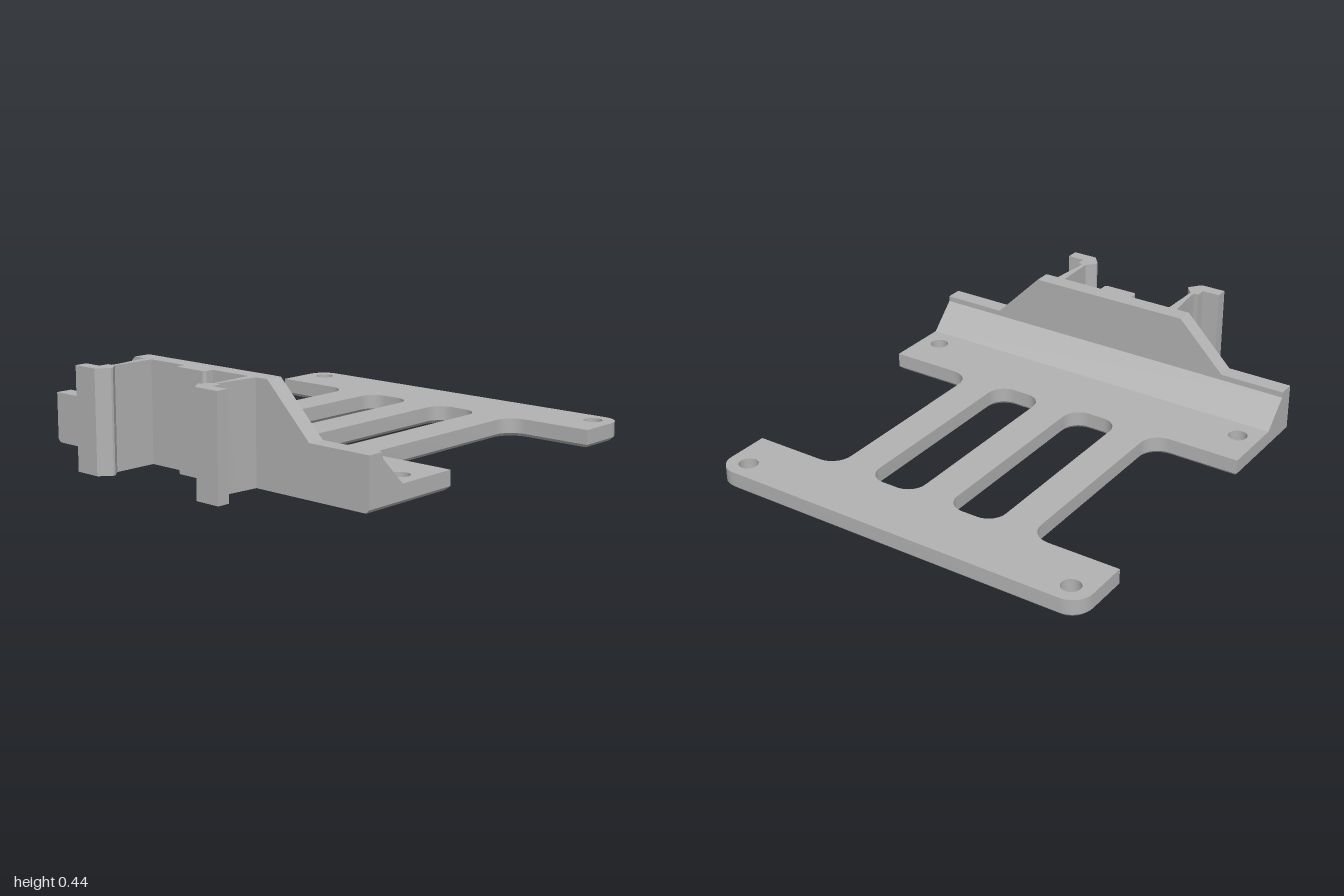
import * as THREE from 'three';
import { toCreasedNormals } from 'three/addons/utils/BufferGeometryUtils.js';

const HALF = 0.885, PLATE = 0.08, TALL = 0.435, CHAMFER = 0.015;
const grey = new THREE.MeshStandardMaterial({ color: 0xb2b2b2 });
grey.name = 'grey plastic';

// Closed outline from [x, y, radius] corners
function outline(corners, Type = THREE.Shape) {
  const path = new Type();
  const n = corners.length;
  corners.forEach(([x, y, r = 0], i) => {
    const p = new THREE.Vector2(x, y);
    const toward = (c) => new THREE.Vector2(c[0], c[1]).sub(p).normalize();
    const u = toward(corners[(i + n - 1) % n]), v = toward(corners[(i + 1) % n]);
    const a = p.clone().addScaledVector(u, r), b = p.clone().addScaledVector(v, r);
    if (i === 0) path.moveTo(a.x, a.y); else path.lineTo(a.x, a.y);
    if (r > 0) {
      const k = r * 0.448;
      path.bezierCurveTo(x + u.x * k, y + u.y * k, x + v.x * k, y + v.y * k, b.x, b.y);
    }
  });
  path.closePath();
  return path;
}

const extrude = (shape, depth, options = {}) =>
  new THREE.ExtrudeGeometry(shape, { depth, bevelEnabled: false, curveSegments: 8, ...options });

function part(name, geometry) {
  const mesh = new THREE.Mesh(toCreasedNormals(geometry, 0.5), grey);
  mesh.name = name;
  return mesh;
}

// Plan shapes are drawn as (x, -z) and raised along y
const upright = (geometry, y = 0) => geometry.rotateX(-Math.PI / 2).translate(0, y, 0);
const plan = (points) => outline(points.map(([x, z, r]) => [x, -z, r]));

function plateShape() {
  const side = [
    [HALF, 0.71], [HALF, 0.23], [0.475, 0.23, 0.09], [0.475, -0.72, 0.09],
    [HALF, -0.72], [HALF, -1, 0.09],
  ];
  const mirrored = side.map(([x, z, r]) => [-x, z, r]).reverse();
  const shape = plan([...side, ...mirrored]);
  for (const s of [-1, 1]) {
    // Long rounded slots
    const x0 = s * 0.08, x1 = s * 0.315, r = 0.08;
    shape.holes.push(outline(
      [[x0, 0.72, r], [x1, 0.72, r], [x1, -0.23, r], [x0, -0.23, r]], THREE.Path));
    // Screw holes
    for (const z of [-0.91, 0.42]) {
      const hole = new THREE.Path();
      hole.absarc(s * 0.79, -z, 0.042, 0, Math.PI * 2, true);
      shape.holes.push(hole);
    }
  }
  return shape;
}

export function createModel() {
  const model = new THREE.Group();
  model.name = 'mountingBracket';

  // Flat plate with a chamfered underside
  const shape = plateShape();
  model.add(part('plate', upright(extrude(shape, PLATE - CHAMFER), CHAMFER)));
  model.add(part('plateUnderside', upright(extrude(shape, 0.002, {
    bevelEnabled: true, bevelSegments: 1, bevelThickness: CHAMFER,
    bevelSize: CHAMFER, bevelOffset: -CHAMFER,
  }), CHAMFER)));

  // Front wall, raised in the middle
  const half = [[HALF - CHAMFER, 0], [HALF, CHAMFER], [HALF, 0.22], [0.59, 0.22], [0.375, TALL]];
  const wall = outline([...half, ...half.map(([x, y]) => [-x, y]).reverse()]);
  model.add(part('frontWall', extrude(wall, 0.075).translate(0, 0, 0.635)));

  // Sloped brace behind the wall
  const brace = outline([[-0.52, PLATE], [-0.635, PLATE], [-0.635, 0.195]].reverse());
  model.add(part('brace', extrude(brace, HALF * 2)
    .rotateY(Math.PI / 2).translate(-HALF, 0, 0)));

  // Middle stop on the front of the wall
  const stop = plan([[-0.08, 0.7], [-0.08, 0.745], [-0.07, 0.755],
    [0.07, 0.755], [0.08, 0.745], [0.08, 0.7]]);
  model.add(part('middleStop', upright(extrude(stop, TALL))));

  // Pair of hooked spring clips
  const clip = [[0.275, 0.7], [0.28, 0.9], [0.245, 0.94], [0.245, 0.95], [0.285, 1],
    [0.4, 1], [0.4, 0.945], [0.32, 0.945], [0.32, 0.9], [0.298, 0.9], [0.298, 0.865], [0.315, 0.7]];
  for (const s of [-1, 1]) {
    const section = plan(clip.map(([x, z]) => [s * x, z]));
    model.add(part(s > 0 ? 'leftClip' : 'rightClip', upright(extrude(section, TALL))));
  }
  return model;
}
